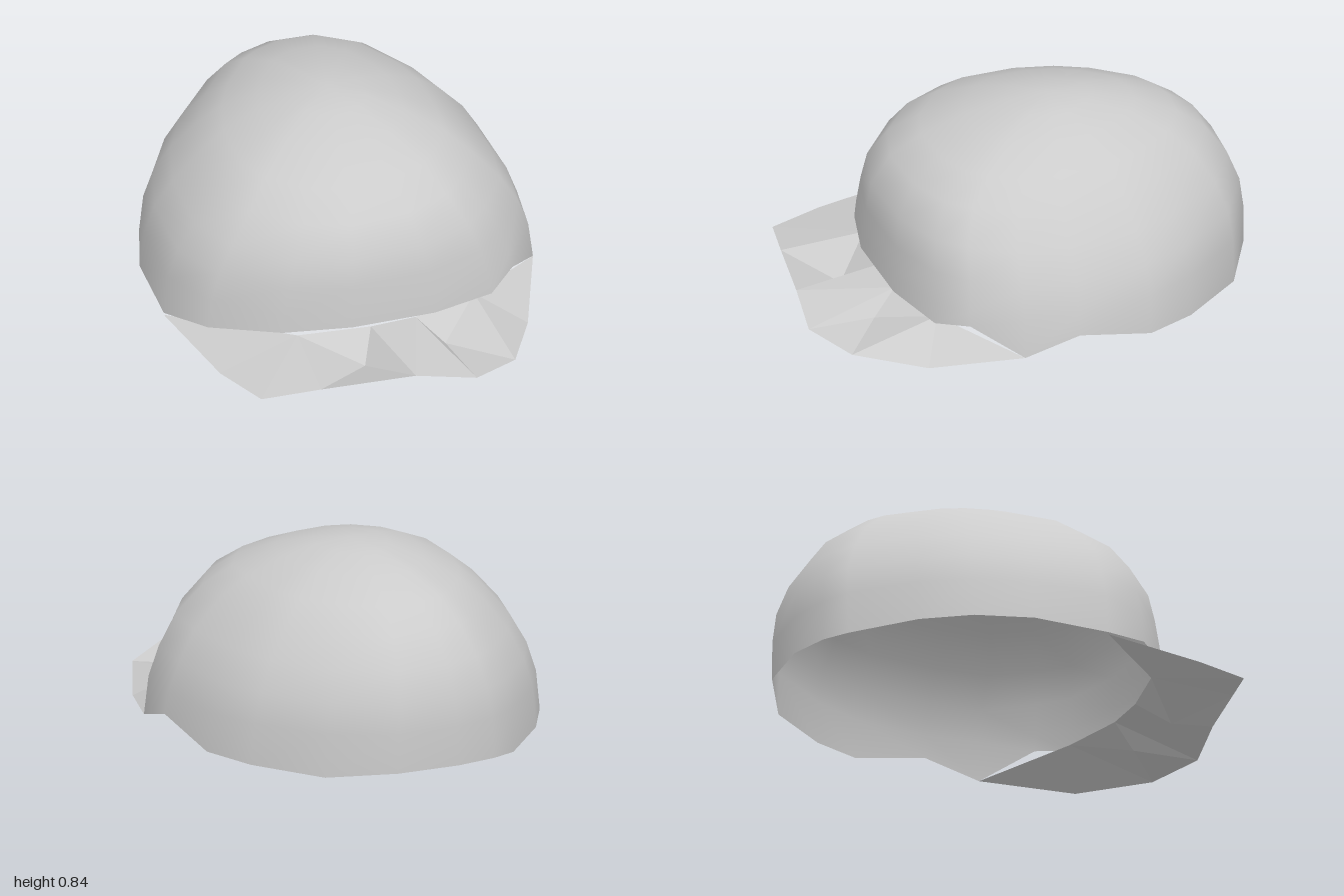
import * as THREE from 'three';

const material = () => new THREE.MeshStandardMaterial({ color: 0xcccccc, side: THREE.DoubleSide });

// Uneven lower rim of the crown: x, y, z
const RIM = [
  [0.82, 0.125, -0.07], [0.81, 0.05, 0.17], [0.67, 0.16, 0.37], [0.55, 0.13, 0.49], [0.28, 0.15, 0.59],
  [-0.09, 0.16, 0.62], [-0.38, 0.14, 0.56], [-0.66, 0.09, 0.38], [-0.8, 0.04, 0.17], [-0.82, 0.045, -0.17],
  [-0.76, 0.045, -0.42], [-0.65, 0.04, -0.63], [-0.44, 0.03, -0.87], [-0.32, 0.04, -0.94], [-0.13, 0.05, -1],
  [0.15, 0.05, -1], [0.43, 0.03, -0.87], [0.66, 0.04, -0.61], [0.77, 0.05, -0.4],
];

// Rings above the rim: height, half width, front z, back z
const RINGS = [
  [0.22, 0.8, 0.615, -1], [0.35, 0.755, 0.6, -0.985], [0.48, 0.68, 0.58, -0.935], [0.61, 0.565, 0.5, -0.845],
  [0.7, 0.455, 0.365, -0.725], [0.775, 0.3, 0.18, -0.55], [0.82, 0.155, 0, -0.36],
];

function crownGeometry() {
  const n = RIM.length;
  const positions = RIM.flat();
  for (const [y, w, front, back] of RINGS) {
    for (const [x, , z] of RIM) {
      positions.push(x * w / 0.82, y, back + (z + 1) / 1.62 * (front - back));
    }
  }
  const top = positions.length / 3;
  positions.push(0, 0.84, -0.18);

  const index = [];
  for (let r = 0; r <= RINGS.length; r++) {
    for (let i = 0; i < n; i++) {
      const a = r * n + i, b = r * n + (i + 1) % n;
      if (r === RINGS.length) index.push(b, a, top);
      else index.push(b, a, a + n, b, a + n, b + n);
    }
  }
  const g = new THREE.BufferGeometry();
  g.setAttribute('position', new THREE.Float32BufferAttribute(positions, 3));
  g.setIndex(index);
  g.computeVertexNormals();
  return g;
}

// Crumpled brim: outer edge from right to left, then the inner folds
function brimGeometry() {
  const points = [
    [-0.8, 0.03, 0.17], [-0.67, 0.03, 0.63], [-0.55, 0.045, 0.87], [-0.3, 0.08, 0.91], [0.1, 0.12, 0.965],
    [0.36, 0.08, 0.99], [0.56, 0.045, 0.86], [0.69, 0, 0.56], [0.81, 0.05, 0.17],
    [-0.31, 0.1, 0.54], [-0.06, 0.025, 0.72], [0.0, 0.12, 0.58], [0.2, 0.12, 0.56],
    [0.3, 0.05, 0.68], [0.48, 0.12, 0.46],
  ];
  const triangles = [
    [0, 1, 9], [1, 2, 9], [2, 3, 9], [3, 10, 9], [3, 4, 10], [10, 11, 9], [4, 11, 10], [4, 12, 11],
    [4, 5, 12], [5, 13, 12], [5, 6, 13], [6, 14, 13], [13, 14, 12], [6, 7, 14], [7, 8, 14],
  ];
  const positions = triangles.flat().flatMap((i) => points[i]);
  const g = new THREE.BufferGeometry();
  g.setAttribute('position', new THREE.Float32BufferAttribute(positions, 3));
  g.computeVertexNormals();
  return g;
}

export function createModel() {
  const cap = new THREE.Group();
  cap.name = 'cap';
  const parts = { crown: crownGeometry(), brim: brimGeometry() };
  for (const [name, geometry] of Object.entries(parts)) {
    const mesh = new THREE.Mesh(geometry, material());
    mesh.name = name;
    cap.add(mesh);
  }
  return cap;
}
